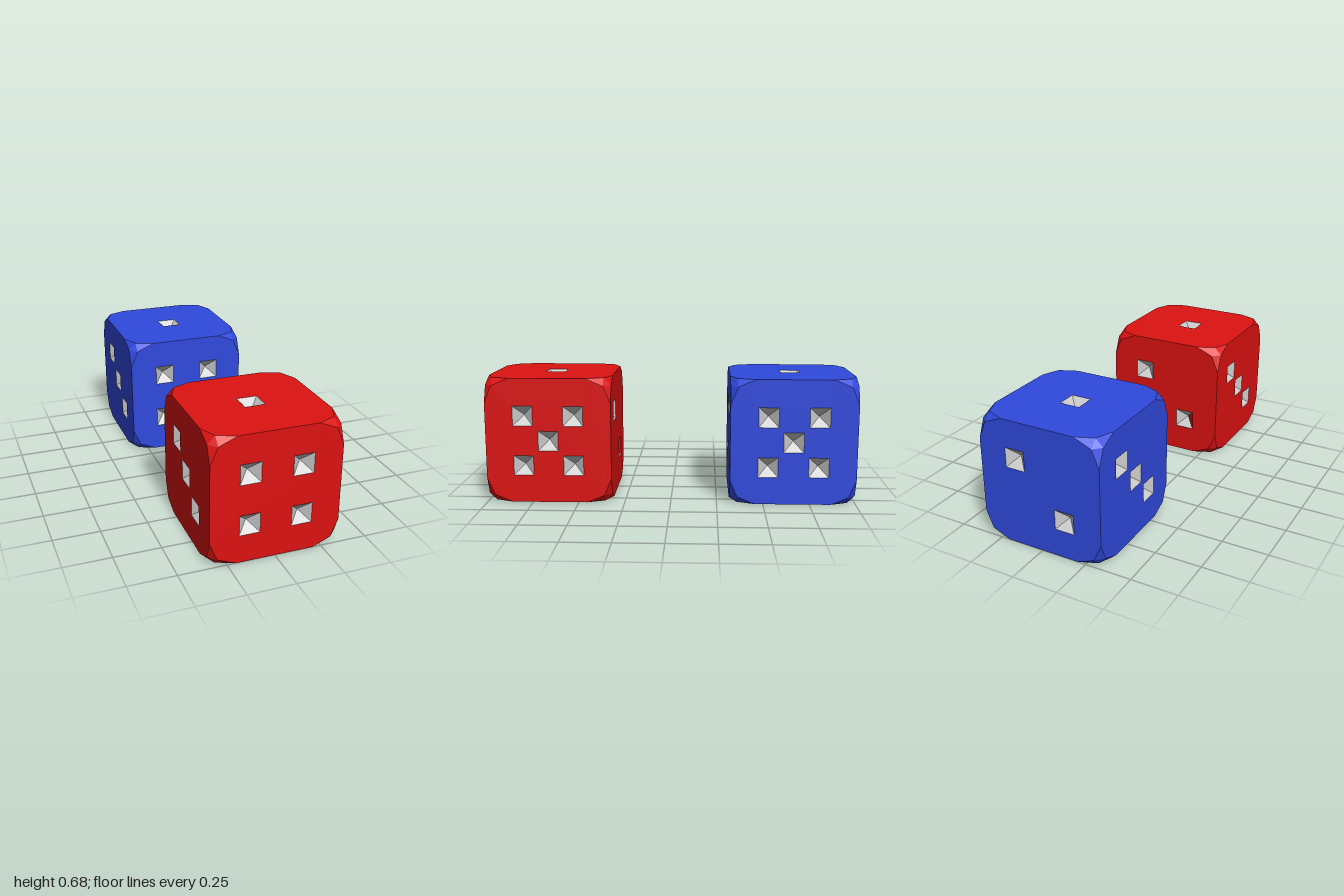
import * as THREE from 'three';

const H = 0.34;      // half the die
const EDGE = 0.205;  // where the corner cut starts along an edge
const IN = 0.30;     // inner point of the corner cut
const P = 0.136;     // pip spacing
const R = 0.054;     // half the pip width
const DEPTH = 0.054;

const SQUARE = [[1, -1], [1, 1], [-1, 1], [-1, -1]];
const FOUR = SQUARE.map(([x, y]) => [x * P, y * P]);
const DIAGONAL = [[-P, P], [P, -P]];

// Each side: rotation from +z and its pip centres
const SIDES = [
  { name: 'front', rot: [0, 0, 0], pips: FOUR },
  { name: 'left', rot: [0, Math.PI / 2, 0], pips: [...FOUR, [0, 0]] },
  { name: 'back', rot: [0, Math.PI, 0], pips: DIAGONAL },
  { name: 'right', rot: [0, -Math.PI / 2, 0], pips: [...DIAGONAL, [0, 0]] },
  { name: 'top', rot: [-Math.PI / 2, 0, 0], pips: [[0, 0]] },
  { name: 'bottom', rot: [Math.PI / 2, 0, 0], pips: [-P, P].flatMap(x => [[x, -P], [x, 0], [x, P]]) },
];

function triangles(points) {
  const g = new THREE.BufferGeometry();
  g.setAttribute('position', new THREE.Float32BufferAttribute(points.flat(), 3));
  g.computeVertexNormals();
  return g;
}

function mesh(name, geometry, material) {
  const m = new THREE.Mesh(geometry, material);
  m.name = name;
  return m;
}

// Flat side with clipped corners and a square hole for each pip
function sideGeometry(pips) {
  const outline = [];
  SQUARE.forEach(([sx, sy]) => {
    const corner = [[H, EDGE], [IN, IN], [EDGE, H]];
    if (sx * sy < 0) corner.reverse();
    corner.forEach(([x, y]) => outline.push(new THREE.Vector2(sx * x, sy * y)));
  });
  const shape = new THREE.Shape(outline);
  for (const [cx, cy] of pips) {
    shape.holes.push(new THREE.Path(SQUARE.map(([x, y]) => new THREE.Vector2(cx + x * R, cy + y * R))));
  }
  return new THREE.ShapeGeometry(shape).translate(0, 0, H);
}

// One of the four sloping facets of a sunken pyramid
function pipFacet([cx, cy], k) {
  const rim = i => [cx + SQUARE[i % 4][0] * R, cy + SQUARE[i % 4][1] * R, H];
  return [rim(k), rim(k + 1), [cx, cy, H - DEPTH]];
}

// Faceted cuts on all eight corners
function cornerGeometry() {
  const points = [];
  const a = [[H, IN, IN], [IN, H, IN], [IN, IN, H]];
  const e = [[EDGE, H, H], [H, EDGE, H], [H, H, EDGE]];
  const facets = [a, [a[0], e[2], a[1]], [a[1], e[0], a[2]], [a[2], e[1], a[0]]];
  for (const sx of [-1, 1]) for (const sy of [-1, 1]) for (const sz of [-1, 1]) {
    for (const facet of facets) {
      const t = facet.map(([x, y, z]) => [x * sx, y * sy, z * sz]);
      if (sx * sy * sz < 0) t.reverse();
      points.push(...t);
    }
  }
  return triangles(points);
}

function createDie(name, color, paintedFacet) {
  const body = new THREE.MeshStandardMaterial({ color, flatShading: true });
  const grey = new THREE.MeshStandardMaterial({ color: 0xcccccc, flatShading: true });
  const die = new THREE.Group();
  die.name = name;
  for (const { name: sideName, rot, pips } of SIDES) {
    const side = new THREE.Group();
    side.name = sideName + 'Side';
    side.rotation.set(...rot);
    side.add(mesh(sideName + 'Face', sideGeometry(pips), body));
    const greyPoints = [], bodyPoints = [];
    pips.forEach((pip, i) => {
      for (let k = 0; k < 4; k++) {
        // a single facet of the lower back pip takes the body colour
        const painted = paintedFacet && sideName === 'back' && i === 1 && k === 0;
        (painted ? bodyPoints : greyPoints).push(...pipFacet(pip, k));
      }
    });
    side.add(mesh(sideName + 'Pips', triangles(greyPoints), grey));
    if (bodyPoints.length) side.add(mesh('paintedPipFacet', triangles(bodyPoints), body));
    die.add(side);
  }
  die.add(mesh('corners', cornerGeometry(), body));
  return die;
}

export function createModel() {
  const group = new THREE.Group();
  group.name = 'dice';
  const red = createDie('redDie', 0xdd1212, true);
  red.position.set(0, H, 1 - H);
  const blue = createDie('blueDie', 0x3049dd, false);
  blue.position.set(0, H, H - 1);
  group.add(red, blue);
  return group;
}
